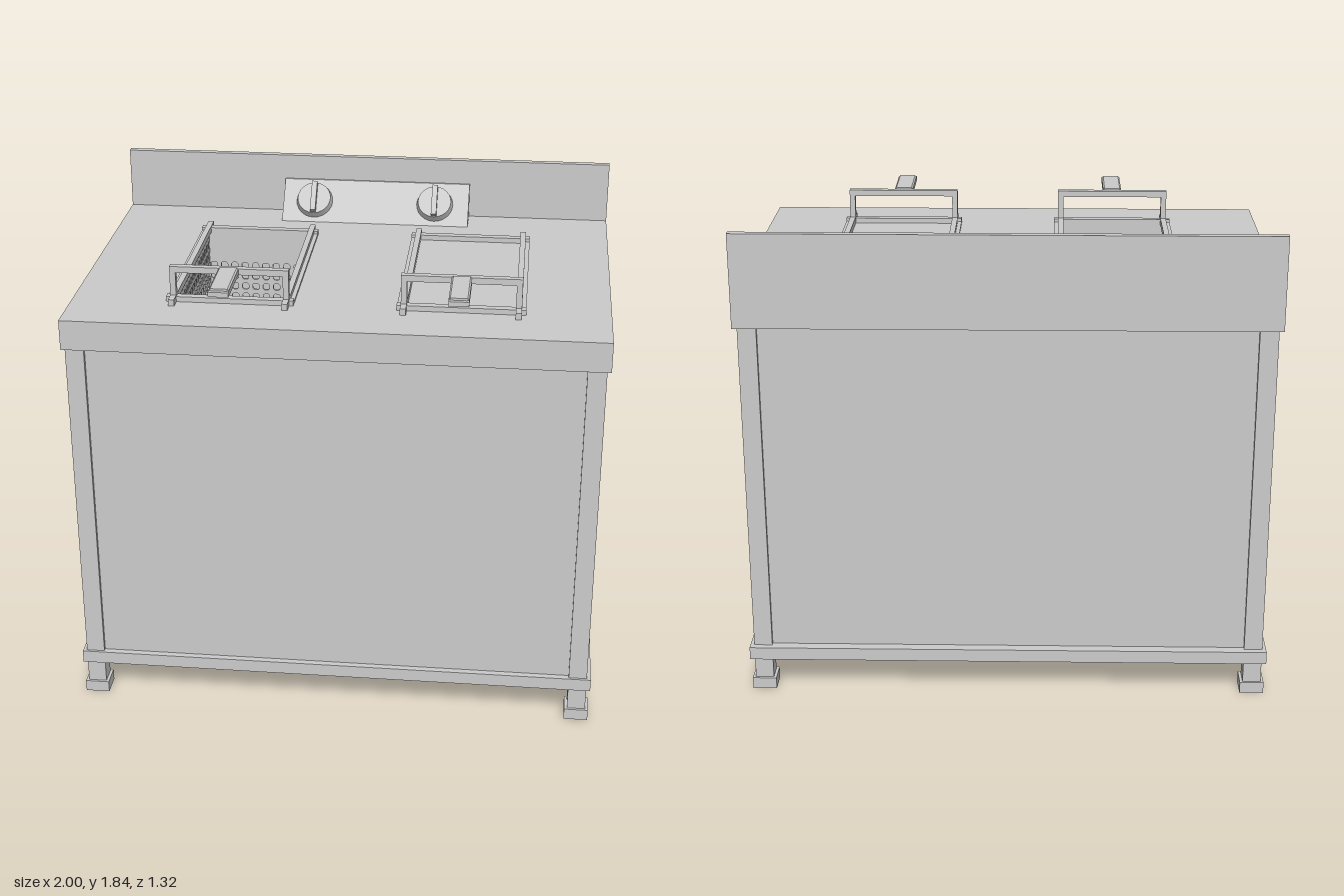
import * as THREE from 'three';

const material = new THREE.MeshStandardMaterial({ color: 0xcccccc, flatShading: true });

function add(parent, name, geometry) {
  const mesh = new THREE.Mesh(geometry, material);
  mesh.name = name;
  parent.add(mesh);
  return mesh;
}

// Box given by its lower and upper limits on each axis
function box(parent, name, [x0, x1], [y0, y1], [z0, z1]) {
  const mesh = add(parent, name, new THREE.BoxGeometry(x1 - x0, y1 - y0, z1 - z0));
  mesh.position.set((x0 + x1) / 2, (y0 + y1) / 2, (z0 + z1) / 2);
  return mesh;
}

function rectangle(Type, x0, x1, y0, y1) {
  return new Type([[x0, y0], [x1, y0], [x1, y1], [x0, y1]].map(p => new THREE.Vector2(...p)));
}

// Centred sheet in the xy plane with a grid of chamfered holes
function perforatedSheet(w, h, columns, rows, thickness = 0.01) {
  const shape = rectangle(THREE.Shape, -w / 2, w / 2, -h / 2, h / 2);
  const sx = w / columns, sy = h / rows;
  const a = sx * 0.31, b = sy * 0.31, c = 0.006;
  const outline = [[-a + c, -b], [a - c, -b], [a, -b + c], [a, b - c],
    [a - c, b], [-a + c, b], [-a, b - c], [-a, -b + c]];
  for (let i = 0; i < columns; i++) {
    for (let j = 0; j < rows; j++) {
      const x = (i + 0.5) * sx - w / 2, y = (j + 0.5) * sy - h / 2;
      shape.holes.push(new THREE.Path(outline.map(([u, v]) => new THREE.Vector2(x + u, y + v))));
    }
  }
  const geometry = new THREE.ExtrudeGeometry(shape, { depth: thickness, bevelEnabled: false });
  return geometry.translate(0, 0, -thickness / 2);
}

// Frying basket, centred on its own x = 0, with y = 0 on the worktop
function createBasket() {
  const basket = new THREE.Group();
  basket.name = 'fryingBasket';
  const depth = 0.36, top = 0.015, back = -0.335, front = 0.41;
  const length = front - back, midZ = (front + back) / 2, width = 0.43;

  const floor = add(basket, 'basketFloor', perforatedSheet(width, length, 10, 17));
  floor.rotation.x = -Math.PI / 2;
  floor.position.set(0, top - depth, midZ);

  const endWall = perforatedSheet(width, depth, 10, 8);
  for (const z of [back, front]) {
    add(basket, 'basketEndWall', endWall).position.set(0, top - depth / 2, z);
  }
  const sideWall = perforatedSheet(length, depth, 17, 8);
  for (const s of [-1, 1]) {
    const wall = add(basket, 'basketSideWall', sideWall);
    wall.rotation.y = Math.PI / 2;
    wall.position.set(s * width / 2, top - depth / 2, midZ);
    // Long rail and the low rim beside it
    const inner = s * 0.2, outer = s * 0.222, rim = s * 0.238;
    box(basket, 'sideRail', [Math.min(inner, outer), Math.max(inner, outer)], [0, 0.025], [-0.39, 0.475]);
    box(basket, 'sideRim', [Math.min(outer, rim), Math.max(outer, rim)], [0, 0.008], [-0.355, 0.43]);
    box(basket, 'handlePost', [Math.min(inner, outer), Math.max(inner, outer)], [0, 0.138], [0.402, 0.428]);
  }
  box(basket, 'backRail', [-0.238, 0.238], [0, 0.02], [-0.355, -0.325]);
  box(basket, 'frontRail', [-0.238, 0.238], [0, 0.02], [0.4, 0.43]);

  // Bridge and protruding grip
  box(basket, 'handleBridge', [-0.222, 0.222], [0.114, 0.138], [0.402, 0.428]);
  box(basket, 'gripCore', [-0.037, 0.037], [0.118, 0.136], [0.425, 0.66]);
  const grip = rectangle(THREE.Shape, 0.43, 0.645, 0.112, 0.144);
  const geometry = new THREE.ExtrudeGeometry(grip, {
    depth: 0.062, bevelThickness: 0.006, bevelSize: 0.005, bevelOffset: -0.005, bevelSegments: 1,
  });
  const sleeve = add(basket, 'gripSleeve', geometry);
  sleeve.rotation.y = -Math.PI / 2;
  sleeve.position.x = 0.031;
  return basket;
}

function createControlPanel() {
  const panel = new THREE.Group();
  panel.name = 'controlPanel';
  // Wedge profile in (z, y), extruded along x
  const profile = new THREE.Shape([[-0.635, 1.6], [-0.495, 1.6], [-0.625, 1.74], [-0.635, 1.74]]
    .map(p => new THREE.Vector2(-p[0], p[1])));
  const wedge = add(panel, 'slopedConsole',
    new THREE.ExtrudeGeometry(profile, { depth: 0.77, bevelEnabled: false }));
  wedge.rotation.y = Math.PI / 2;
  wedge.position.x = -0.34;

  // Knobs stand square to the slope
  for (const x of [-0.21, 0.29]) {
    const knob = new THREE.Group();
    knob.name = 'controlKnob';
    add(knob, 'knobDisc', new THREE.CylinderGeometry(0.068, 0.075, 0.03, 24)).position.y = 0.015;
    add(knob, 'knobPointer', new THREE.BoxGeometry(0.022, 0.028, 0.13)).position.y = 0.04;
    knob.position.set(x, 1.67, -0.56);
    knob.rotation.x = Math.atan2(0.14, 0.13);
    panel.add(knob);
  }
  return panel;
}

export function createModel() {
  const model = new THREE.Group();
  model.name = 'countertopFryer';

  // Worktop with the open vat cut through it
  const top = rectangle(THREE.Shape, -1, 1, -0.66, 0.655);
  top.holes.push(rectangle(THREE.Path, -0.62, -0.195, -0.33, 0.405));
  const worktop = add(model, 'worktop',
    new THREE.ExtrudeGeometry(top, { depth: 0.115, bevelEnabled: false }).rotateX(Math.PI / 2));
  worktop.position.y = 1.6;
  box(model, 'backsplash', [-1, 1], [1.59, 1.84], [-0.66, -0.632]);

  // Cabinet
  box(model, 'bottomShelf', [-1, 1], [0.135, 0.185], [-0.66, 0.66]);
  box(model, 'frontPanel', [-0.94, 0.94], [0.185, 1.485], [0.615, 0.635]);
  box(model, 'backPanel', [-0.94, 0.94], [0.185, 1.485], [-0.62, -0.6]);
  for (const s of [-1, 1]) {
    box(model, 'sidePanel', [s * 0.96 - 0.01, s * 0.96 + 0.01], [0.185, 1.485], [-0.6, 0.615]);
    // Corner posts and feet
    for (const z of [0.615, -0.6]) {
      box(model, 'cornerPost', [s * 0.95 - 0.035, s * 0.95 + 0.035], [0.03, 1.49], [z - 0.035, z + 0.035]);
      box(model, 'foot', [s * 0.95 - 0.046, s * 0.95 + 0.046], [0, 0.045], [z - 0.045, z + 0.045]);
    }
  }

  for (const x of [-0.408, 0.45]) {
    const basket = createBasket();
    basket.position.set(x, 1.6, 0);
    model.add(basket);
  }
  model.add(createControlPanel());
  return model;
}
